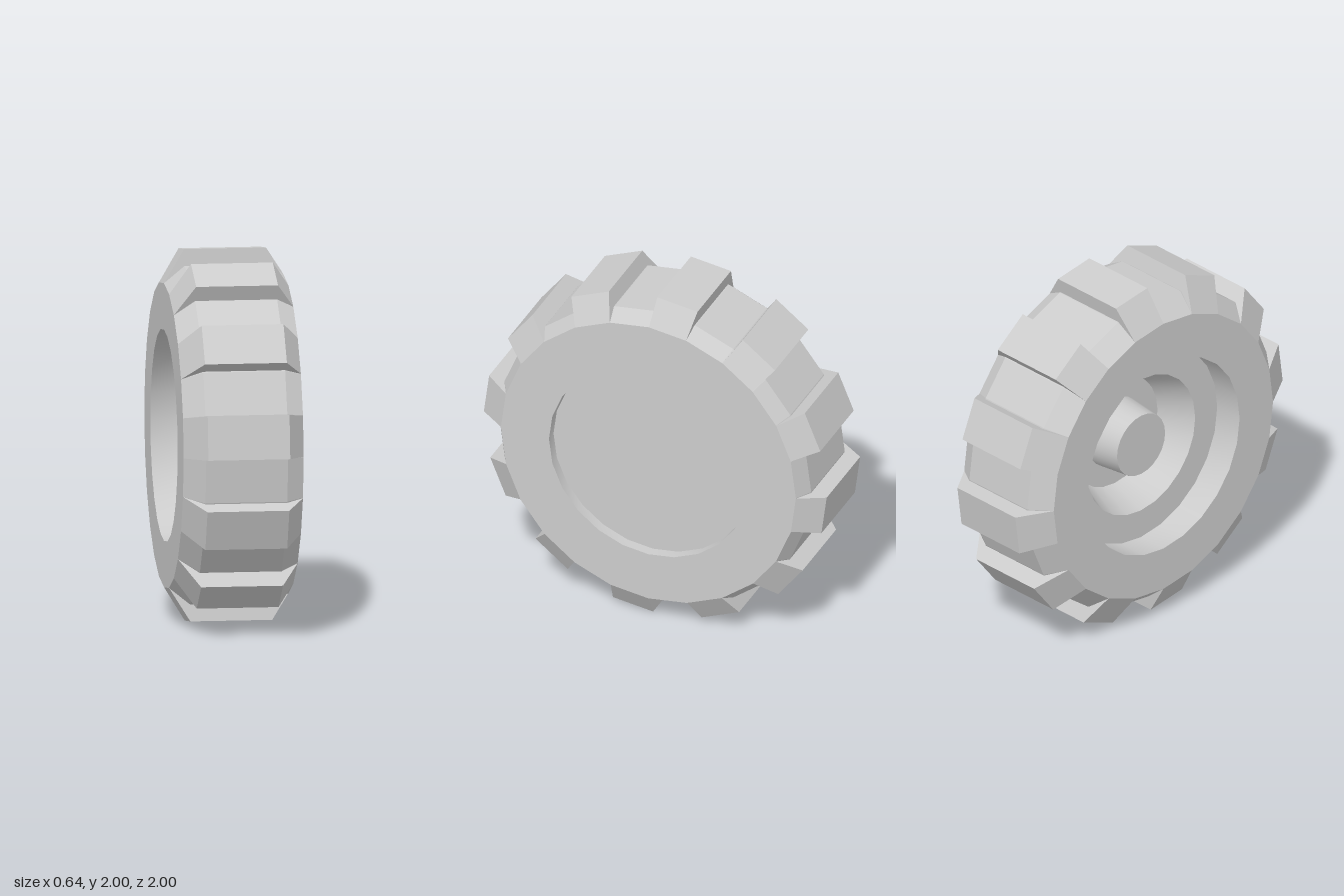
import * as THREE from 'three';
import { toCreasedNormals } from 'three/addons/utils/BufferGeometryUtils.js';

const SEGMENTS = 24;
const TREADS = 12;

// Turns a [radius, x] profile around the x axis.
function turned(profile) {
  const points = profile.map(([r, x]) => new THREE.Vector2(r, x));
  return new THREE.LatheGeometry(points, SEGMENTS).rotateZ(-Math.PI / 2);
}

// One tread block: a box bent to a bevelled profile, widening slightly outwards.
function treadGeometry() {
  const xs = [-0.32, -0.21, 0.23, 0.32];
  const tops = [0.813, 0.993, 0.993, 0.853];
  const geometry = new THREE.BoxGeometry(1, 1, 1, 3, 1, 1);
  const pos = geometry.attributes.position;
  for (let i = 0; i < pos.count; i++) {
    const column = Math.round((pos.getX(i) + 0.5) * 3);
    const r = pos.getY(i) > 0 ? tops[column] : 0.8;
    const halfWidth = 0.107 + (r - 0.813) * 0.061;
    pos.setXYZ(i, xs[column], r, Math.sign(pos.getZ(i)) * halfWidth);
  }
  const flat = geometry.toNonIndexed();
  flat.computeVertexNormals();
  return flat;
}

export function createModel() {
  const wheel = new THREE.Group();
  wheel.name = 'wheel';
  wheel.position.y = 1;
  const smooth = new THREE.MeshStandardMaterial({ color: 0xcccccc });
  const faceted = new THREE.MeshStandardMaterial({ color: 0xcccccc, flatShading: true });

  const add = (name, geometry, material) => {
    const mesh = new THREE.Mesh(geometry, material);
    mesh.name = name;
    wheel.add(mesh);
    return mesh;
  };

  // Tyre body with bevelled shoulders and flat sidewalls
  add('tyre', turned([
    [0.57, -0.32], [0.82, -0.32], [0.91, -0.21],
    [0.91, 0.23], [0.86, 0.32], [0.58, 0.32],
  ]), faceted);

  // Stepped hub with a central boss on one side
  add('hub', toCreasedNormals(turned([
    [0, -0.15], [0.18, -0.15], [0.2, 0.05], [0.32, 0.05],
    [0.405, -0.15], [0.57, -0.15], [0.57, -0.32],
  ]), 0.5), smooth);

  // Shallow recessed plate on the other side
  add('plate', toCreasedNormals(turned([[0.58, 0.32], [0.58, 0.26], [0, 0.26]]), 0.5), smooth);

  // Tread blocks sit on every other facet of the tyre
  const tread = treadGeometry();
  for (let i = 0; i < TREADS; i++) {
    add('tread', tread, faceted).rotation.x = -((i + 0.25) / TREADS) * Math.PI * 2;
  }

  const model = new THREE.Group();
  model.add(wheel);
  return model;
}
